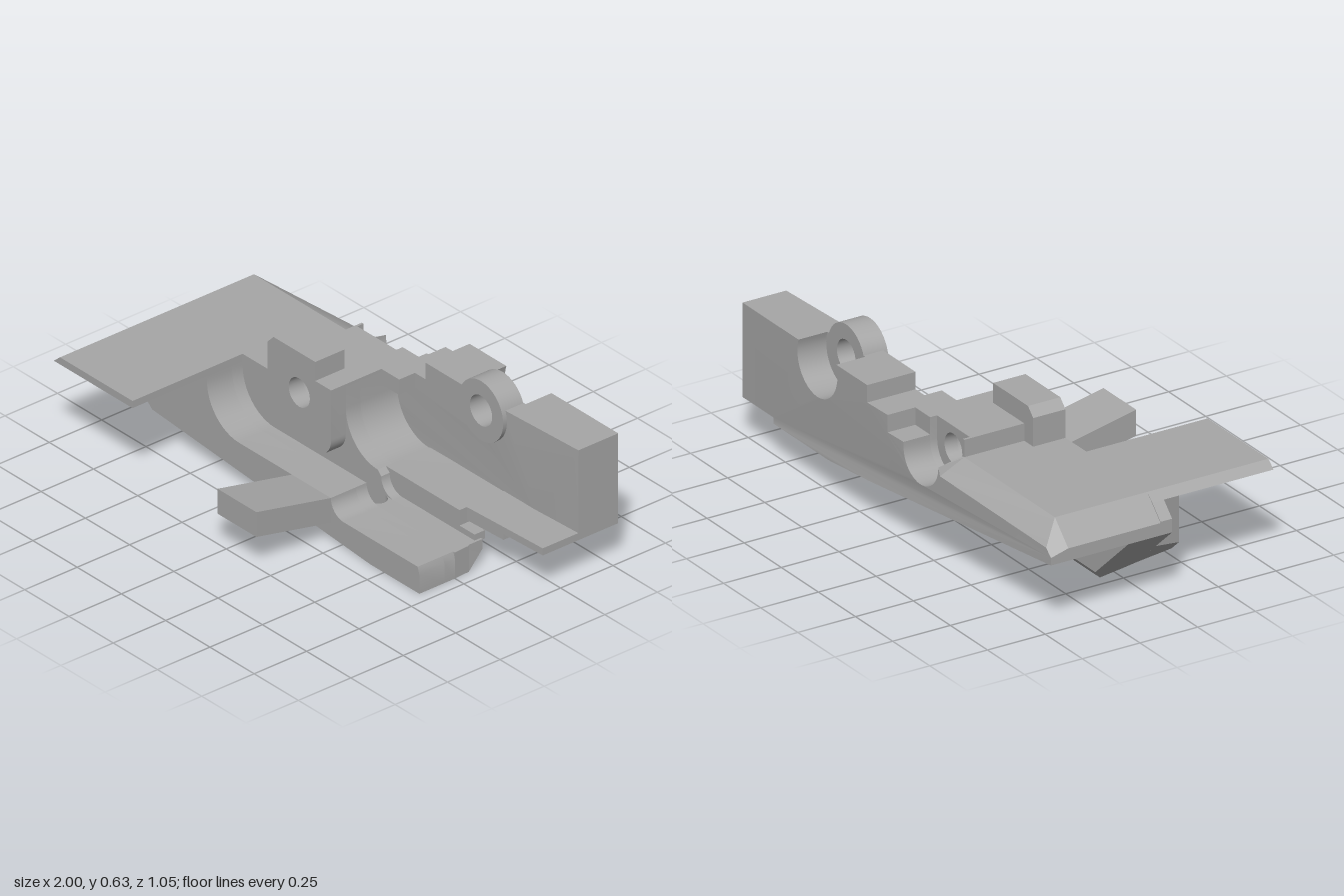
import * as THREE from 'three';
import { toCreasedNormals } from 'three/addons/utils/BufferGeometryUtils.js';

const grey = new THREE.MeshStandardMaterial({ color: 0xa6a6a6 });
grey.name = 'machined grey';

// points along an arc, angles in degrees
function arc(cx, cy, r, a0, a1, n = 12) {
  return Array.from({ length: n + 1 }, (_, i) => {
    const a = THREE.MathUtils.degToRad(a0 + (a1 - a0) * i / n);
    return [cx + r * Math.cos(a), cy + r * Math.sin(a)];
  });
}

// solid between two matching outlines; a point's third value overrides its z
function loft(back, z0, front, z1, holes = []) {
  const v2 = l => l.map(p => new THREE.Vector2(p[0], p[1]));
  const pos = [];
  const put = (...ps) => ps.forEach(p => pos.push(...p));
  const at = (l, z) => l.map(p => [p[0], p[1], p[2] ?? z]);
  const loopsB = [back, ...holes].map(l => at(l, z0));
  const loopsF = [front, ...holes].map(l => at(l, z1));
  const tris = l => THREE.ShapeUtils.triangulateShape(v2(l), holes.map(v2));
  const allB = loopsB.flat(), allF = loopsF.flat();
  for (const [a, b, c] of tris(front)) put(allF[a], allF[b], allF[c]);
  for (const [a, b, c] of tris(back)) put(allB[c], allB[b], allB[a]);
  loopsB.forEach((b, k) => {
    const f = loopsF[k];
    b.forEach((_, i) => {
      const j = (i + 1) % b.length;
      put(b[i], b[j], f[j], b[i], f[j], f[i]);
    });
  });
  const g = new THREE.BufferGeometry();
  g.setAttribute('position', new THREE.Float32BufferAttribute(pos, 3));
  return toCreasedNormals(g, 0.6);
}

// plan outline of [x, z] points raised from y0 to y1
function plan(pts, y0, y1) {
  const s = new THREE.Shape(pts.map(([x, z]) => new THREE.Vector2(x, -z)));
  const g = new THREE.ExtrudeGeometry(s, { depth: y1 - y0, bevelEnabled: false });
  g.rotateX(-Math.PI / 2);
  g.translate(0, y0, 0);
  return toCreasedNormals(g, 0.6);
}
const rect = (x0, x1, y0, y1) => [[x0, y0], [x1, y0], [x1, y1], [x0, y1]];

export function createModel() {
  const group = new THREE.Group();
  const add = (name, geometry) => {
    const m = new THREE.Mesh(geometry, grey);
    m.name = name;
    group.add(m);
  };

  const leftEnd = [[-0.91, 0.41], [-1, 0.32], [-1, 0.27]];
  const bore = [arc(-0.18, 0.39, 0.06, 360, 0, 24).slice(0, -1)];
  const lowFloor = [[0.69, 0.11], ...arc(0.27, 0.18, 0.07, 270, 180, 8)];
  const bossTop = [[0, 0.48], [-0.09, 0.48], [-0.09, 0.56], [-0.325, 0.56], [-0.36, 0.525], [-0.36, 0.41]];
  const innerFillet = arc(0.18, 0.38, 0.18, 270, 180);

  // front of the keel with its scooped pocket and slanted underside
  const scoop = (start, left) => [start, [0.7, 0], [0.7, 0.08], ...lowFloor,
    ...arc(-0.32, 0.36, 0.18, 270, 180), [-0.5, 0.38], ...left];
  add('keelFront', loft(
    scoop([-0.14, 0], [[-0.89, 0.38], [-0.89, 0.171], [-0.762, 0.056]]), 0.05,
    scoop([0.42, 0], [[-0.86, 0.38], [-0.86, 0.145], [-0.81, 0.1]]), 0.17));
  const wide = [[-0.945, 0.38], [-1, 0.325], [-1, 0.27]];
  add('keelMiddle', loft(
    scoop([-0.373, 0], [...wide, [-0.736, 0.032]]), 0,
    scoop([-0.14, 0], [...wide, [-0.762, 0.056]]), 0.05));

  // thin overhanging plate and sloping arm
  const plate = [[-0.945, 0.38], [-0.5, 0.38], [-0.5, 0.41], [-0.91, 0.41]];
  add('topPlate', loft(plate, 0, plate, 0.525));
  add('arm', loft(rect(-0.02, 0.2, 0.075, 0.18), 0.17, rect(-0.02, 0.2, 0.15, 0.255), 0.525));

  // boss plate standing over the slot
  const bossPlate = (bottom, corner) => [[-0.6, bottom], [-0.6, 0.18],
    ...arc(-0.09, 0.27, 0.09, 270, 360), ...bossTop, ...leftEnd, corner];
  add('bossPlate', loft(bossPlate(0, [-0.7, 0]), -0.07, bossPlate(0.02, [-0.736, 0.032]), 0, bore));
  add('slotEnd', plan([[0.7, 0], [0.695, -0.07],
    ...arc(0.225, -0.035, 0.035, -90, 90)], 0, 0.11));

  // rear of the keel with chamfered lower edge
  const keelRear = (a, b) => [a, b, ...lowFloor, ...innerFillet, ...bossTop, ...leftEnd];
  add('keelRear', loft(keelRear([-0.778, 0.07], [0.69, 0.07]), -0.14,
    keelRear([-0.7, 0], [0.695, 0]), -0.07, bore));

  // central body with inner fillet
  const body = [[0.42, 0.145], [0.595, 0.145], [0.595, 0.2], ...innerFillet,
    [0, 0.48], [-0.3, 0.48], [-0.3, 0.41], ...leftEnd];
  add('centralBody', loft(body, -0.315, body, -0.14, bore));
  add('stepBlock', plan([[0, -0.32], [0, -0.24], [0.1, -0.24], [0.1, -0.32]], 0.415, 0.48));

  // ledge along the foot of the wall
  add('ledgeInner', plan([[0.18, -0.32], [0.18, -0.11], [0.595, -0.11], [0.595, -0.32]], 0.1, 0.2));
  add('ledgeMiddle', plan([[0.595, -0.34], [0.595, -0.145], [0.79, -0.155], [0.79, -0.34]], 0.145, 0.2));
  add('ledgeOuter', plan([[0.79, -0.34], [0.79, -0.155], [1, -0.165], [1, -0.34]], 0.17, 0.2));
  add('ledgeTab', plan([[0.595, -0.16], [0.595, -0.11], [0.68, -0.11], [0.68, -0.16]], 0.1, 0.135));

  // rear wall in three layers, notched for the ring and the bore
  const foot = [[0.42, 0.145], [0.79, 0.145], [0.79, 0.17], [1, 0.17], [1, 0.55]];
  const ringNotch = (r) => {
    const a = THREE.MathUtils.radToDeg(Math.asin(0.045 / r));
    return arc(0.495, 0.505, r, a, -180 - a, 24);
  };
  const shoulder = [[0.16, 0.55], [0.16, 0.48]];
  const counterbore = arc(-0.18, 0.39, 0.11, 0, -180, 16);
  const wall = [...foot, ...ringNotch(0.124), ...shoulder, [-0.3, 0.48], [-0.3, 0.41], ...leftEnd];
  const taper = wall.map(([x, y]) => [x, y, x > 0.62 ? -0.315 - (x - 0.6) * 0.05 : -0.315]);
  add('wallFront', loft(wall, -0.37, taper, -0.315, bore));
  const middle = [...foot, ...ringNotch(0.124), ...shoulder, [-0.07, 0.48], ...counterbore,
    [-0.29, 0.48], [-0.3, 0.48], [-0.3, 0.41], ...leftEnd];
  add('wallMiddle', loft(middle, -0.4, middle, -0.37));
  const rearOutline = (top) => [[0.15, 0.169], ...foot, ...ringNotch(0.135), ...shoulder,
    [0.03, 0.48], [0.03, 0.41], [-0.07, 0.41], ...counterbore, ...top, [-1, 0.27]];
  const rearZ = ([x, y]) => [x, y, -0.525 + Math.max(0, 0.15 - x) * 0.0435];
  add('wallRear', loft(
    rearOutline([[-0.29, 0.392], [-0.3, 0.36], [-0.97, 0.33], [-1, 0.3]]).map(rearZ), -0.525,
    rearOutline([[-0.29, 0.41], [-0.3, 0.41], [-0.91, 0.41], [-1, 0.32]]), -0.4));

  // ring set into the wall
  const ring = arc(0.495, 0.505, 0.125, 0, 360, 40).slice(0, -1);
  add('ring', loft(ring, -0.4, ring, -0.297, [arc(0.495, 0.505, 0.063, 360, 0, 28).slice(0, -1)]));

  return group;
}
